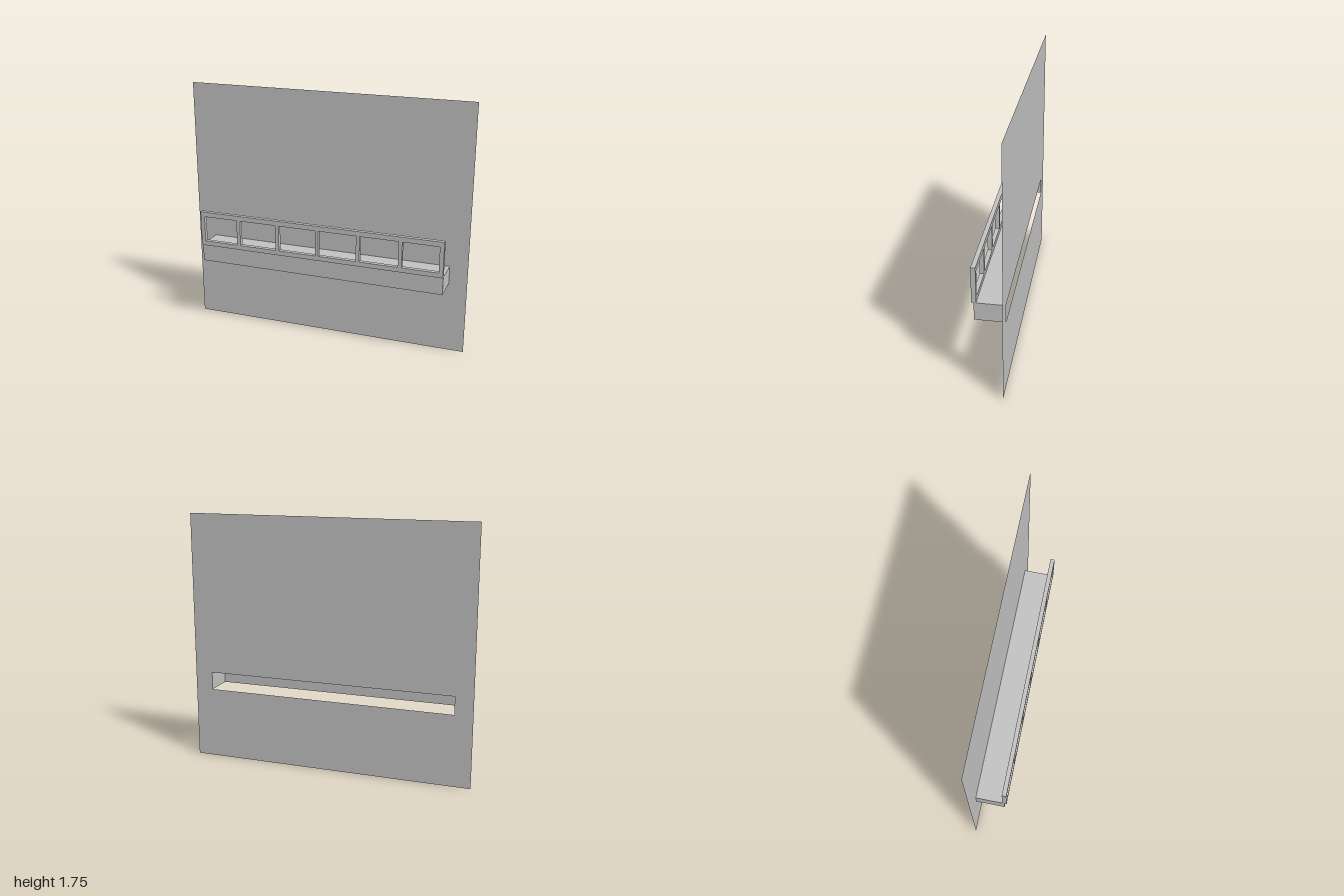
import * as THREE from 'three';

const grey = new THREE.MeshStandardMaterial({ color: 0xc5c5c5, side: THREE.DoubleSide });
grey.name = 'wall grey';

const HALF = 0.875;                 // half length of ledge and rail
const BACK = -0.107, FRONT = 0.092; // ledge depth
const LOW = 0.5, HIGH = 0.625;      // ledge height

// Rectangle outline between two corners
function rect(Kind, x0, y0, x1, y1) {
  const r = new Kind();
  r.moveTo(x0, y0);
  r.lineTo(x1, y0);
  r.lineTo(x1, y1);
  r.lineTo(x0, y1);
  r.closePath();
  return r;
}

export function createModel() {
  const group = new THREE.Group();

  function add(name, geometry, x, y, z, rx = 0, ry = 0) {
    const mesh = new THREE.Mesh(geometry, grey);
    mesh.name = name;
    mesh.position.set(x, y, z);
    mesh.rotation.set(rx, ry, 0);
    group.add(mesh);
  }

  // Thin wall sheet, open behind the hollow ledge
  const wall = rect(THREE.Shape, -1, 0, 1, 1.75);
  wall.holes.push(rect(THREE.Path, -HALF, LOW, HALF, HIGH));
  add('wall', new THREE.ShapeGeometry(wall), 0, 0, BACK);

  // Hollow ledge, open at the back and underneath
  const depth = FRONT - BACK, height = HIGH - LOW;
  const midZ = (FRONT + BACK) / 2, midY = (HIGH + LOW) / 2;
  add('ledgeFront', new THREE.PlaneGeometry(2 * HALF, height), 0, midY, FRONT);
  add('ledgeTop', new THREE.PlaneGeometry(2 * HALF, depth), 0, HIGH, midZ, -Math.PI / 2);
  for (const side of [-1, 1]) {
    add(side > 0 ? 'ledgeLeftEnd' : 'ledgeRightEnd', new THREE.PlaneGeometry(depth, height),
      side * HALF, midY, midZ, 0, side * Math.PI / 2);
  }

  // Rail frame with six openings
  const frame = rect(THREE.Shape, -HALF, HIGH, HALF, 0.875);
  for (const [a, b] of [[0.012, 0.279], [0.304, 0.571], [0.597, 0.846]]) {
    frame.holes.push(rect(THREE.Path, a, 0.658, b, 0.84));
    frame.holes.push(rect(THREE.Path, -b, 0.658, -a, 0.84));
  }
  add('railFrame', new THREE.ExtrudeGeometry(frame, { depth: 0.03, bevelEnabled: false }), 0, 0, 0.077);

  return group;
}
